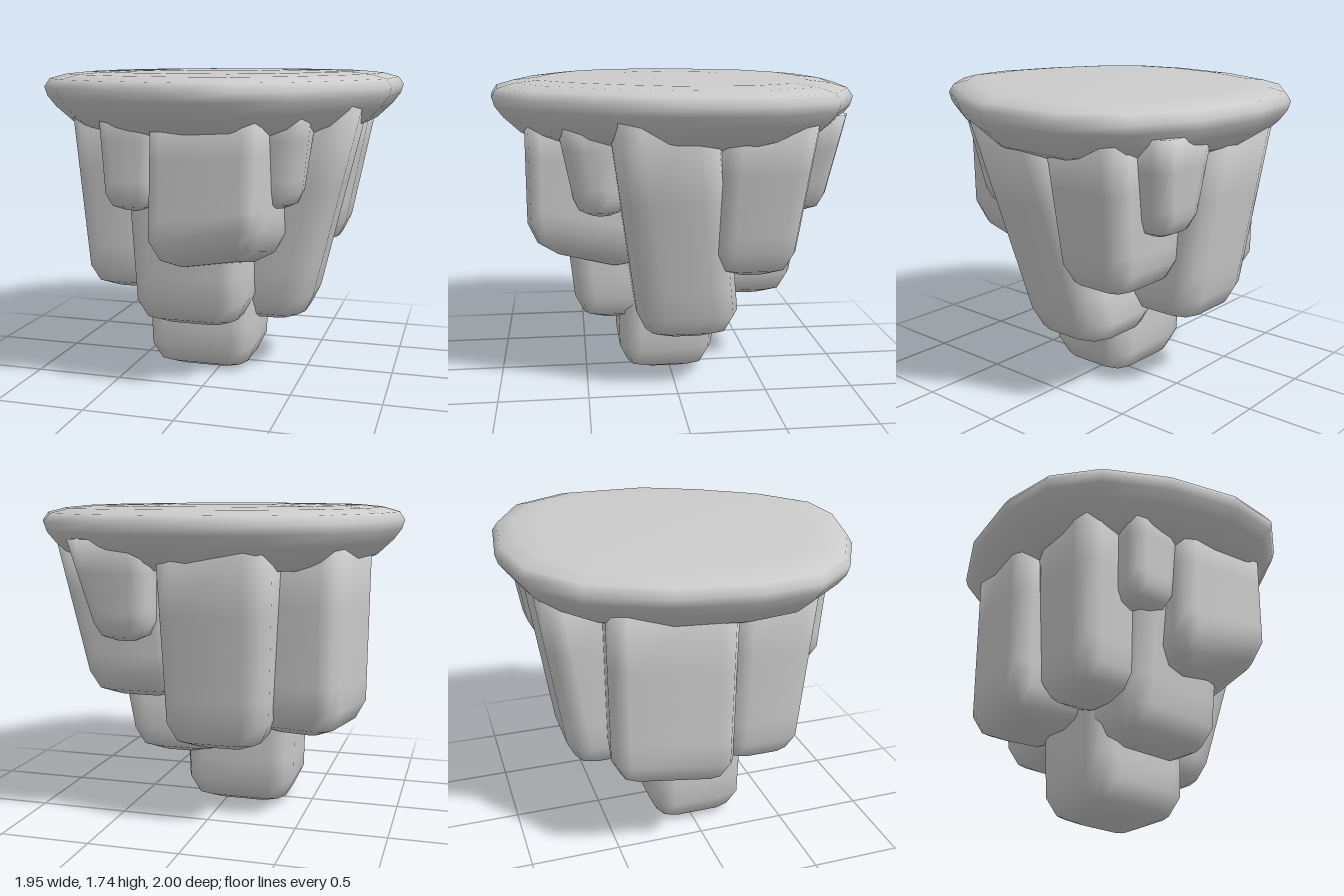
import * as THREE from 'three';

const material = new THREE.MeshStandardMaterial({ color: 0xcccccc });

// Skin a stack of equal closed rings; both ends are capped with a fan.
// Rings run from bottom to top, points go anticlockwise seen from below.
function loft(rings) {
  const n = rings[0].length;
  const pos = rings.flat(2);
  const index = [];
  for (let r = 0; r < rings.length - 1; r++) {
    for (let i = 0; i < n; i++) {
      const a = r * n + i, b = r * n + (i + 1) % n, c = a + n, d = b + n;
      index.push(a, c, b, b, c, d);
    }
  }
  const cap = (ring, start, up) => {
    const mid = [0, 1, 2].map(k => ring.reduce((s, p) => s + p[k], 0) / n);
    const m = pos.length / 3;
    pos.push(...mid);
    for (let i = 0; i < n; i++) {
      const a = start + i, b = start + (i + 1) % n;
      if (up) index.push(m, b, a); else index.push(m, a, b);
    }
  };
  cap(rings[0], 0, false);
  cap(rings[rings.length - 1], (rings.length - 1) * n, true);
  const g = new THREE.BufferGeometry();
  g.setAttribute('position', new THREE.Float32BufferAttribute(pos, 3));
  g.setIndex(index);
  g.computeVertexNormals();
  return g;
}

// Rectangle with rounded corners at height y, tilted by slopes sx and sz, turned by yaw
function roundedRect([x0, x1, z0, z1], inset, radius, y, sx, sz, yaw) {
  const cx = (x0 + x1) / 2, cz = (z0 + z1) / 2;
  const hx = (x1 - x0) / 2 - inset, hz = (z1 - z0) / 2 - inset;
  const c = Math.cos(yaw), s = Math.sin(yaw);
  const corner = [[0, radius], [radius * 0.28, radius * 0.28], [radius, 0]];
  const pts = [];
  for (const [qx, qz] of [[1, 1], [-1, 1], [-1, -1], [1, -1]]) {
    const list = qx * qz > 0 ? corner : [...corner].reverse();
    for (const [dx, dz] of list) {
      const x = qx * (hx - dx), z = qz * (hz - dz);
      pts.push([cx + x * c - z * s, y + sx * x + sz * z, cz + x * s + z * c]);
    }
  }
  return pts;
}

// Hanging rock: tapers from the upper rectangle to the lower one, bevelled foot
function rock({ top, low, y, sx = 0, sz = 0, yaw = 0, yTop = 1.57, radius }) {
  const size = Math.min(low[1] - low[0], low[3] - low[2]);
  const b = Math.min(0.15, size * 0.32);
  const r = radius ?? b * 0.8;
  const shoulder = y + b;
  const mix = t => low.map((v, k) => v + (top[k] - v) * t);
  const rings = [
    roundedRect(low, b, r * 0.4, y, sx, sz, yaw),
    roundedRect(low, b * 0.33, r * 0.85, y + b * 0.3, sx, sz, yaw),
    roundedRect(low, 0, r, shoulder, sx, sz, yaw),
  ];
  for (const t of [0.15, 0.6, 1]) {
    rings.push(roundedRect(mix(t), 0, r, shoulder + (yTop - shoulder) * t, sx * (1 - t), sz * (1 - t), yaw));
  }
  return loft(rings);
}

// Rectangles are [xMin, xMax, zMin, zMax]
const rocks = {
  bottomRock: { top: [-0.43, 0.24, -0.29, 0.32], low: [-0.41, 0.22, -0.25, 0.30], y: 0, yTop: 1.1 },
  frontColumn: { top: [-0.42, 0.25, 0.05, 0.68], low: [-0.40, 0.23, 0.05, 0.56], y: 0.33 },
  frontBlock: { top: [-0.20, 0.41, 0.18, 0.80], low: [-0.22, 0.40, 0.16, 0.80], y: 0.70, sx: 0.17, sz: 0.22, yaw: 0.06, radius: 0.09 },
  frontSmallRock: { top: [-0.52, -0.18, 0.40, 0.73], low: [-0.50, -0.21, 0.40, 0.70], y: 1.0 },
  leftSmallRock: { top: [0.22, 0.60, 0.24, 0.65], low: [0.22, 0.54, 0.26, 0.56], y: 1.02, radius: 0.12 },
  leftColumn: { top: [0.16, 0.82, -0.20, 0.38], low: [-0.04, 0.54, -0.35, 0.22], y: 0.30, radius: 0.15 },
  backLeftBlock: { top: [0.20, 0.81, -0.71, -0.19], low: [0.12, 0.67, -0.63, -0.18], y: 0.69, radius: 0.1 },
  backSmallRock: { top: [0.21, 0.66, -0.88, -0.50], low: [0.23, 0.55, -0.81, -0.48], y: 1.03 },
  backColumn: { top: [-0.42, 0.20, -0.87, -0.25], low: [-0.37, 0.20, -0.72, -0.22], y: 0.44 },
  backRightColumn: { top: [-0.78, -0.22, -0.54, 0.14], low: [-0.77, -0.22, -0.53, 0.13], y: 0.49, sz: -0.05, yaw: 0.17, radius: 0.1 },
  frontRightColumn: { top: [-0.75, -0.30, 0.08, 0.58], low: [-0.69, -0.28, 0.08, 0.52], y: 0.52 },
};

// Plan outline of the slab as [x, z]
const outline = [
  [0, -1], [0.45, -0.95], [0.80, -0.78], [0.97, -0.46], [0.95, 0.06], [0.78, 0.42],
  [0.54, 0.78], [0.29, 0.98], [0, 1], [-0.40, 0.89], [-0.74, 0.70], [-0.93, 0.46],
  [-0.98, 0.14], [-0.91, -0.30], [-0.72, -0.70], [-0.40, -0.93],
];

// Slab section as [scale of outline, height], bottom to top
const slabProfile = [
  [0.40, 1.38], [0.74, 1.405], [0.85, 1.455], [0.94, 1.54], [0.985, 1.60], [1, 1.65],
  [0.97, 1.695], [0.88, 1.72], [0.75, 1.733], [0.35, 1.74],
];

export function createModel() {
  const group = new THREE.Group();
  const add = (name, geometry) => {
    const mesh = new THREE.Mesh(geometry, material);
    mesh.name = name;
    group.add(mesh);
  };
  // Flat-topped slab with a rounded rim
  add('topSlab', loft(slabProfile.map(([s, y]) => outline.map(([x, z]) => [x * s, y, z * s]))));
  // Cluster of rocks below
  for (const [name, spec] of Object.entries(rocks)) add(name, rock(spec));
  return group;
}
